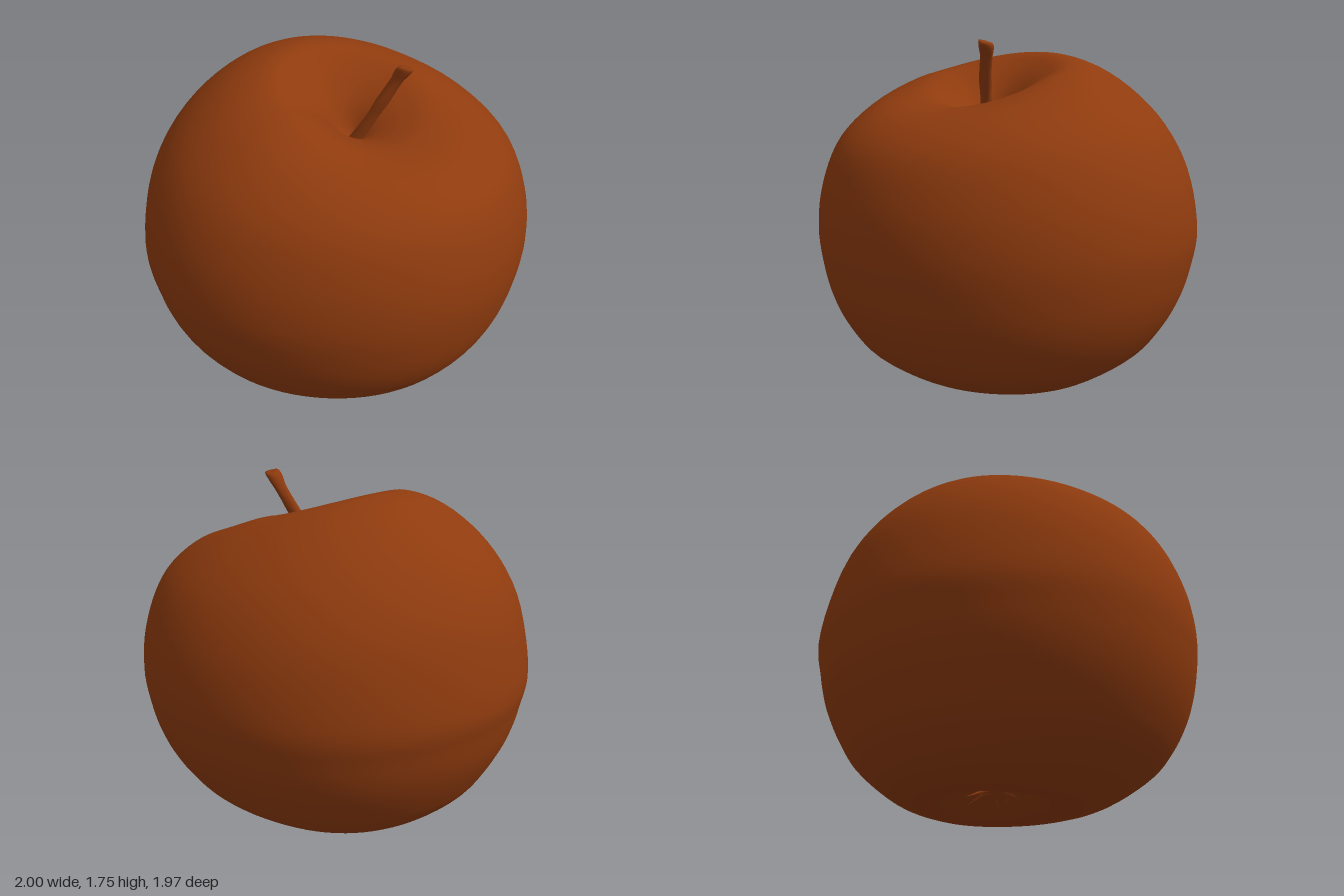
import * as THREE from 'three';

const skin = new THREE.MeshStandardMaterial({ color: 0x8f3b0e });
skin.name = 'russet brown';

// Closed loft: rings run from top to bottom, point(u, a) gives a position
function loft(rows, segs, point) {
  const pos = [], index = [];
  for (let i = 0; i <= rows; i++) {
    for (let j = 0; j < segs; j++) pos.push(...point(i / rows, (j / segs) * Math.PI * 2));
  }
  for (let i = 0; i < rows; i++) {
    for (let j = 0; j < segs; j++) {
      const a = i * segs + j, b = i * segs + (j + 1) % segs;
      index.push(a, a + segs, b, a + segs, b + segs, b);
    }
  }
  const g = new THREE.BufferGeometry();
  g.setAttribute('position', new THREE.Float32BufferAttribute(pos, 3));
  g.setIndex(index);
  g.computeVertexNormals();
  return g;
}

const spline = (pts) =>
  new THREE.CatmullRomCurve3(pts.map(([x, y, z = 0]) => new THREE.Vector3(x, y, z)), false, 'catmullrom', 0.5);

function part(name, geometry) {
  const m = new THREE.Mesh(geometry, skin);
  m.name = name;
  return m;
}

// Section profiles from the stem well down to the calyx basin
const axisZ = [.12, .12, .12, .11, .10, .07, .03, 0, 0, 0, 0, 0, 0, -.03, -.06, -.08, -.08];
const frontZY = [[.12, 1.32], [.16, 1.335], [.24, 1.385], [.36, 1.425], [.50, 1.435], [.71, 1.385], [.875, 1.25],
  [.96, 1.04], [.985, .83], [.965, .63], [.92, .46], [.84, .31], [.73, .19], [.49, .05], [.24, .015], [.06, .05], [-.08, .12]];
const backZY = [[.12, 1.32], [.06, 1.36], [-.02, 1.49], [-.14, 1.62], [-.28, 1.695], [-.50, 1.635], [-.73, 1.45],
  [-.90, 1.19], [-.985, .83], [-.965, .65], [-.925, .49], [-.85, .33], [-.76, .2], [-.57, .05], [-.40, .02], [-.22, .06], [-.08, .12]];
const sideXY = [[0, 1.32], [.05, 1.35], [.13, 1.45], [.25, 1.54], [.40, 1.585], [.62, 1.505], [.83, 1.32],
  [.955, 1.08], [1, .83], [.975, .63], [.92, .46], [.835, .31], [.73, .19], [.51, .045], [.34, .005], [.15, .05], [0, .12]];

// Fruit body: blend the front, side and back profiles around the axis
function bodyGeometry() {
  const axis = spline(axisZ.map((z) => [z, 0]));
  const front = spline(frontZY.map(([z, y], i) => [z - axisZ[i], y]));
  const back = spline(backZY.map(([z, y], i) => [axisZ[i] - z, y]));
  const side = spline(sideXY);
  return loft(80, 80, (u, a) => {
    const s = Math.sin(a), c = Math.cos(a), k = Math.sin(2 * a);
    const p = side.getPoint(u).lerp((c > 0 ? front : back).getPoint(u), Math.abs(c) ** 1.15);
    const r = p.x * (1 + 0.01 * k + k * k * (0.014 * s - 0.005));
    return [s * r, p.y, axis.getPoint(u).x + c * r];
  });
}

// Stem: leaning and slightly knobbly, with a flared cut end
function stemGeometry() {
  const path = spline([[.13, 1.74, .34], [.11, 1.67, .305], [.065, 1.55, .25], [.02, 1.42, .19], [-.015, 1.30, .13]]);
  const radius = spline([0, .034, .035, .029, .029, .031, .028, .029, .031, .04].map((r) => [r, 0]));
  return loft(27, 14, (u, a) => {
    const p = path.getPoint(Math.max(0, (u - 1 / 9) * 9 / 8));
    const r = radius.getPoint(u).x * (1 + 0.1 * Math.sin(3 * a + 9 * u));
    return [p.x + r * Math.sin(a), p.y - 0.3 * r * Math.sin(a), p.z + r * Math.cos(a)];
  });
}

// Calyx: withered sepals around a small button in the basin
function calyx() {
  const g = new THREE.Group();
  g.name = 'calyx';
  g.position.set(-0.02, 0.085, -0.08);
  const button = part('calyxButton', new THREE.SphereGeometry(0.06, 12, 8));
  button.scale.y = 0.6;
  g.add(button);
  for (let i = 0; i < 6; i++) {
    const pivot = new THREE.Group();
    pivot.rotation.y = (i / 6) * Math.PI * 2 + 0.2 * Math.sin(i * 5);
    const sepal = part('sepal', new THREE.ConeGeometry(0.055, 0.18, 8));
    sepal.scale.z = 0.35;
    sepal.rotation.set(1.9 + 0.15 * Math.sin(i * 3), 0, 0.3 * Math.cos(i * 4));
    sepal.position.set(0, -0.02, 0.1);
    pivot.add(sepal);
    g.add(pivot);
  }
  return g;
}

export function createModel() {
  const model = new THREE.Group();
  model.name = 'apple';
  model.add(part('fruitBody', bodyGeometry()), part('stem', stemGeometry()), calyx());
  return model;
}
